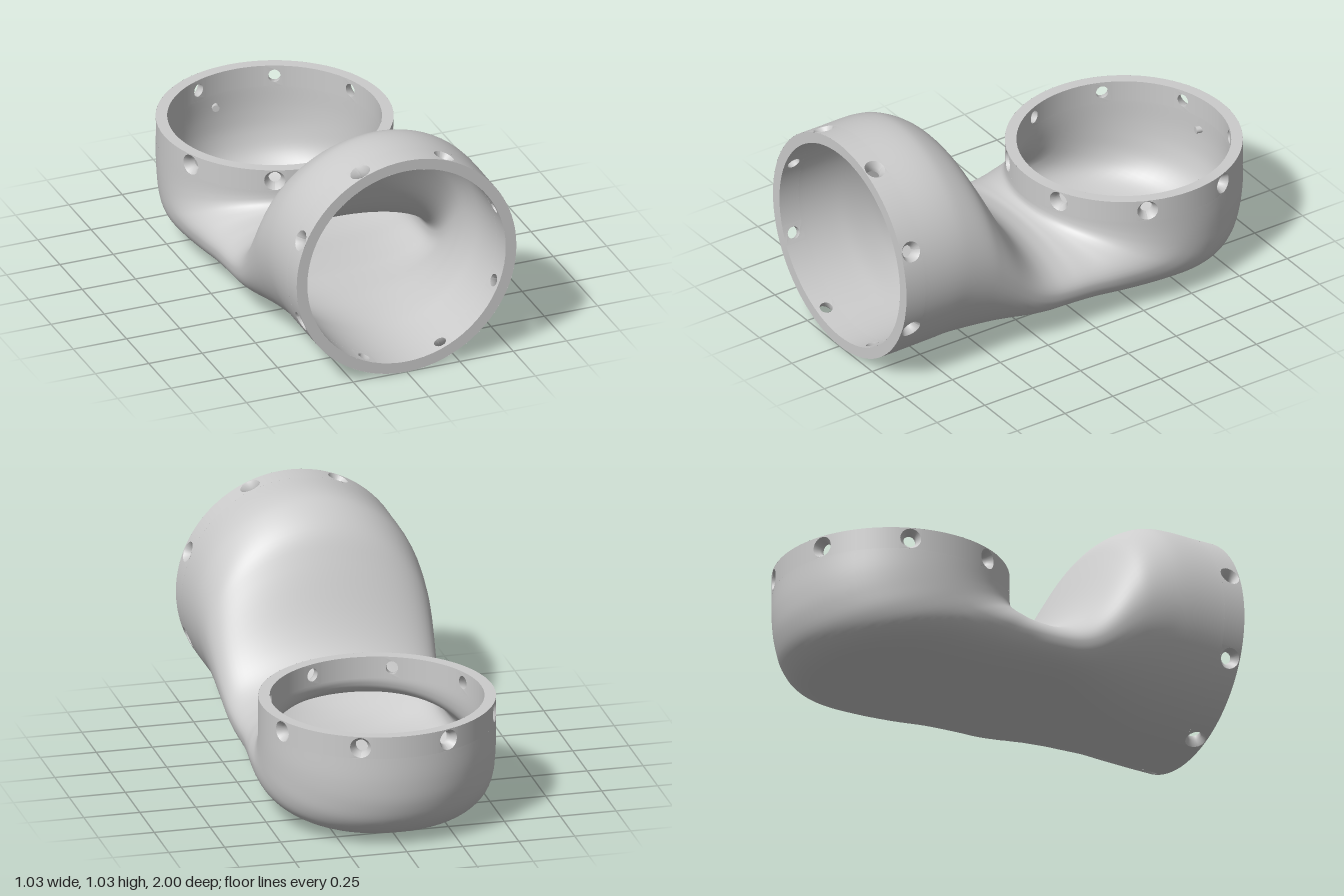
import * as THREE from 'three';
import { mergeGeometries } from 'three/addons/utils/BufferGeometryUtils.js';

const R = 0.515, WALL = 0.05, RIM = 0.1, HOLES = 8;
const FRONT_Y = 0.52, CUP_Z = -0.485, CUP_TOP = 0.54;

const material = new THREE.MeshStandardMaterial({ color: 0xcccccc, side: THREE.DoubleSide });

// Sections along the duct: top z, top y, bottom z, bottom y, half width, lower roundness
const STATIONS = [
  [0.90, 1.035, 0.90, 0.005, 0.515, 2],
  [0.75, 1.035, 0.75, 0.008, 0.515, 2],
  [0.65, 1.010, 0.65, 0.012, 0.512, 2],
  [0.54, 0.930, 0.54, 0.018, 0.506, 2.1],
  [0.46, 0.800, 0.46, 0.024, 0.498, 2.15],
  [0.35, 0.580, 0.35, 0.032, 0.485, 2.2],
  [0.27, 0.460, 0.27, 0.038, 0.478, 2.3],
  [0.19, 0.395, 0.19, 0.043, 0.473, 2.4],
  [0.11, 0.370, 0.10, 0.045, 0.472, 2.4],
  [0.07, 0.372, -0.08, 0.035, 0.475, 2.4],
  [0.05, 0.378, -0.28, 0.016, 0.487, 2.4],
  [0.038, 0.387, -0.50, 0.007, 0.503, 2.4],
  [0.033, 0.396, -0.70, 0.012, 0.512, 2.4],
  [0.031, 0.405, -0.85, 0.040, 0.515, 2.2],
  [0.03, 0.415, -0.94, 0.110, 0.515, 2.08],
  [0.03, 0.425, -0.985, 0.210, 0.515, 2],
  [0.03, 0.433, -1.00, 0.320, 0.515, 2],
  [0.03, 0.440, -1.00, 0.440, 0.515, 2],
];

// Smooth interpolation of all section values at position s
function stationAt(s) {
  const last = STATIONS.length - 1;
  const i = Math.min(Math.floor(s), last - 1), f = s - i;
  const row = (k) => STATIONS[THREE.MathUtils.clamp(k, 0, last)];
  return row(i).map((b, k) => {
    const a = row(i - 1)[k], c = row(i + 1)[k], d = row(i + 2)[k];
    const m0 = (c - a) / 2, m1 = (d - b) / 2;
    return b + m0 * f + (3 * (c - b) - 2 * m0 - m1) * f * f + (2 * (b - c) + m0 + m1) * f ** 3;
  });
}

// Duct skin lofted through the sections; the inner skin is shrunk by the wall
function ductSkin(inner) {
  const around = 72, steps = (STATIONS.length - 1) * 5;
  const positions = [], index = [];
  const power = (v, n) => Math.sign(v) * Math.abs(v) ** (2 / n);
  for (let i = 0; i <= steps; i++) {
    const [tz, ty, bz, by, w, n] = stationAt(i / 5);
    const half = Math.hypot(ty - by, tz - bz) / 2;
    const dy = (ty - by) / 2 / half, dz = (tz - bz) / 2 / half;
    const f = i / steps;
    const wall = inner ? WALL - 0.028 * Math.sin(Math.PI * f) ** 2 : 0;
    for (let j = 0; j < around; j++) {
      const t = (j / around) * Math.PI * 2;
      const e = Math.sin(t) < 0 ? n : 2;
      const v = power(Math.sin(t), e) * (half - wall);
      positions.push(power(Math.cos(t), e) * (w - wall), (ty + by) / 2 + v * dy, (tz + bz) / 2 + v * dz);
    }
  }
  for (let i = 0; i < steps; i++) {
    for (let j = 0; j < around; j++) {
      const a = i * around + j, b = i * around + ((j + 1) % around);
      const c = a + around, d = b + around;
      if (inner) index.push(a, b, c, b, d, c);
      else index.push(a, c, b, b, c, d);
    }
  }
  const g = new THREE.BufferGeometry();
  g.setAttribute('position', new THREE.Float32BufferAttribute(positions, 3));
  g.setIndex(index);
  g.computeVertexNormals();
  return g;
}

// Wraps flat geometry (x along the rim, z = radius) around the y axis
function bend(g, angle) {
  const p = g.attributes.position;
  for (let i = 0; i < p.count; i++) {
    const a = angle + p.getX(i) / R, r = p.getZ(i);
    p.setXYZ(i, r * Math.sin(a), p.getY(i), r * Math.cos(a));
  }
  g.computeVertexNormals();
  return g;
}

// Square patch of rim wall with a round hole
function holePatch(radius, holeRadius, angle) {
  const h = RIM / 2, s = new THREE.Shape();
  const xs = [-h, -h / 2, 0, h / 2, h];
  s.setFromPoints([
    ...xs.map((x) => new THREE.Vector2(x, -h)),
    ...xs.map((x) => new THREE.Vector2(-x, h)),
  ]);
  s.holes.push(new THREE.Path().absarc(0, 0, holeRadius, 0, Math.PI * 2, true));
  return bend(new THREE.ShapeGeometry(s, 12).translate(0, -h, radius), angle);
}

// Collar: rim wall with countersunk screw holes, end face and a locating peg
function makeCollar(name) {
  const group = new THREE.Group();
  group.name = name;
  const pitch = (Math.PI * 2) / HOLES, patch = RIM / R;
  const walls = [], sinks = [];
  for (let k = 0; k < HOLES; k++) {
    const angle = (k + 0.5) * pitch;
    for (const [r, hole] of [[R, 0.046], [R - WALL, 0.03]]) {
      walls.push(holePatch(r, hole, angle));
      walls.push(new THREE.CylinderGeometry(r, r, RIM, 8, 1, true, angle + patch / 2, pitch - patch)
        .translate(0, -RIM / 2, 0));
    }
    const profile = [[0.046, R], [0.03, R - 0.025], [0.03, R - WALL]].map(([x, y]) => new THREE.Vector2(x, y));
    const sink = new THREE.LatheGeometry(profile, 24).rotateX(Math.PI / 2).translate(0, -RIM / 2, 0);
    sinks.push(bend(sink, angle));
  }
  const add = (geometry, part) => {
    const mesh = new THREE.Mesh(geometry, material);
    mesh.name = part;
    group.add(mesh);
    return mesh;
  };
  add(mergeGeometries(walls), 'rimWall');
  add(mergeGeometries(sinks), 'screwHoles');
  add(new THREE.RingGeometry(R - WALL, R, 72).rotateX(-Math.PI / 2), 'endFace');

  const peg = add(new THREE.CylinderGeometry(0.016, 0.016, 0.03, 16), 'locatingPeg');
  peg.position.set(-0.09, -0.16, -0.452);
  peg.rotation.set(Math.PI / 2, 0, 0.2);
  return group;
}

export function createModel() {
  const model = new THREE.Group();
  model.name = 'ductElbow';

  // Body
  for (const inner of [false, true]) {
    const skin = new THREE.Mesh(ductSkin(inner), material);
    skin.name = inner ? 'ductInnerSkin' : 'ductOuterSkin';
    model.add(skin);
  }

  // Front opening faces forward, rear opening faces up
  const front = makeCollar('frontCollar');
  front.rotation.x = Math.PI / 2;
  front.position.set(0, FRONT_Y, 1);
  const rear = makeCollar('rearCollar');
  rear.position.set(0, CUP_TOP, CUP_Z);
  model.add(front, rear);
  return model;
}
